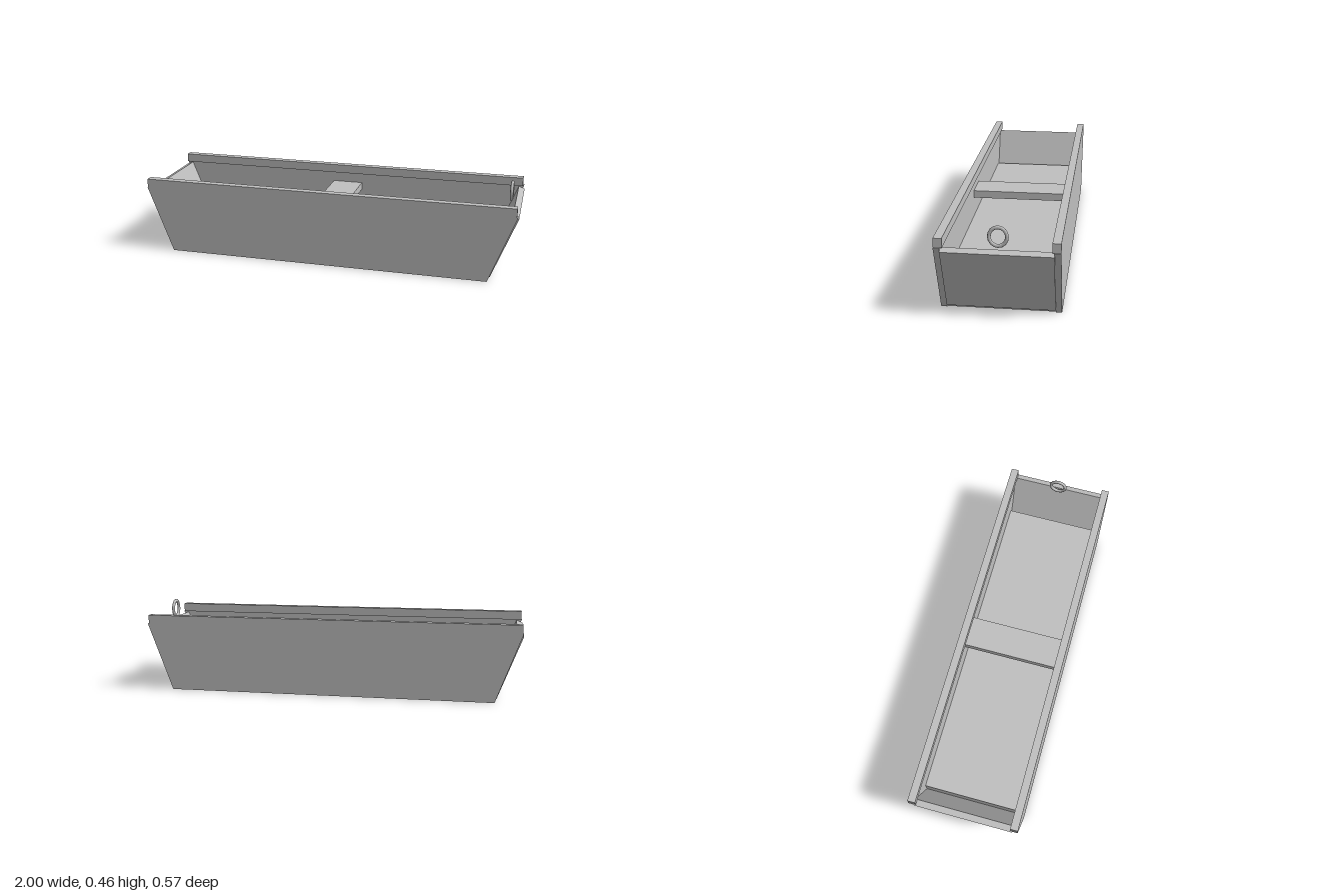
import * as THREE from 'three';

export function createModel() {
  const group = new THREE.Group();
  const grey = new THREE.MeshStandardMaterial({ color: 0xc0c0c0 });
  grey.name = 'plain grey';

  const add = (name, geometry, x = 0, y = 0, z = 0) => {
    const mesh = new THREE.Mesh(geometry, grey);
    mesh.name = name;
    mesh.position.set(x, y, z);
    group.add(mesh);
    return mesh;
  };

  // Extrude an x/y outline across z, centred on z = 0
  const slab = (points, depth) => {
    const shape = new THREE.Shape(points.map(([x, y]) => new THREE.Vector2(x, y)));
    return new THREE.ExtrudeGeometry(shape, { depth, bevelEnabled: false })
      .translate(0, 0, -depth / 2);
  };

  // Thick floor with upright ends
  add('floor', new THREE.BoxGeometry(1.716, 0.159, 0.516), -0.002, 0.0795, 0);

  // Flared side walls and the rails along their tops
  const wall = [[-0.864, 0], [0.862, 0], [0.996, 0.357], [-0.998, 0.357]];
  for (const [side, s] of [['left', 1], ['right', -1]].map(([, s]) => [s > 0 ? 'front' : 'back', s])) {
    add(side + 'Wall', slab(wall, 0.029), 0, 0, s * 0.2725);
    add(side + 'Rail', new THREE.BoxGeometry(1.985, 0.046, 0.04), -0.0025, 0.38, s * 0.267);
  }

  // Sloping planks closing the two ends
  for (const [name, s] of [['leftEnd', 1], ['rightEnd', -1]]) {
    const plank = [[0.873, 0.014], [1.0, 0.34], [0.968, 0.352], [0.841, 0.026]];
    add(name, slab(plank.map(([x, y]) => [s * x, y]), 0.516));
  }

  // Cross bench
  add('seat', new THREE.BoxGeometry(0.166, 0.04, 0.516), -0.002, 0.283, 0);

  // Mooring ring standing on one end plank
  const ring = add('mooringRing', new THREE.TorusGeometry(0.041, 0.0085, 8, 16), 0.945, 0.405, 0);
  ring.rotation.y = Math.PI / 2;
  ring.scale.y = 1.1;

  return group;
}
